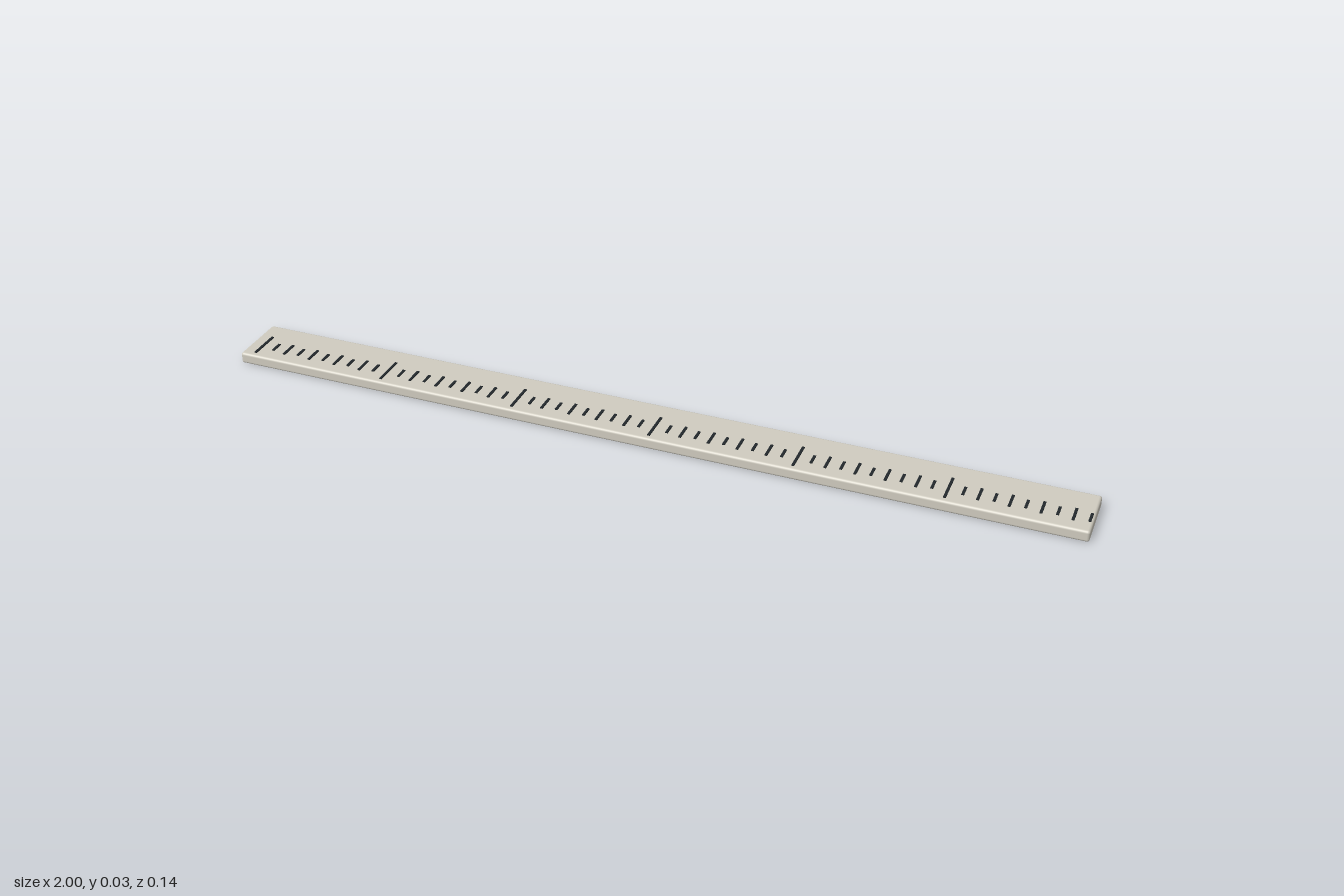
import * as THREE from 'three';
import { RoundedBoxGeometry } from 'three/addons/geometries/RoundedBoxGeometry.js';

const LENGTH = 2, WIDTH = 0.144, THICK = 0.027;

export function createModel() {
  const ruler = new THREE.Group();
  ruler.name = 'ruler';

  // Flat bar with softly rounded edges
  const body = new THREE.Mesh(
    new RoundedBoxGeometry(LENGTH, THICK, WIDTH, 3, 0.006),
    new THREE.MeshStandardMaterial({ color: 0xd0ccc0 })
  );
  body.name = 'body';
  body.position.y = THICK / 2;
  ruler.add(body);

  // Graduation marks: long every tenth, medium on even steps, short between
  const marks = new THREE.Group();
  marks.name = 'graduationMarks';
  const ink = new THREE.MeshStandardMaterial({ color: 0x22282c });
  const kinds = {
    long: new THREE.BoxGeometry(0.006, 0.003, 0.078),
    medium: new THREE.BoxGeometry(0.006, 0.003, 0.044),
    short: new THREE.BoxGeometry(0.006, 0.003, 0.03),
  };
  for (let i = 0; i < 60; i++) {
    const kind = i % 10 === 0 ? 'long' : i % 2 === 0 ? 'medium' : 'short';
    const mark = new THREE.Mesh(kinds[kind], ink);
    mark.name = kind + 'Mark';
    mark.position.set(-0.967 + i * 0.0332, THICK + 0.001, 0.02);
    marks.add(mark);
  }
  ruler.add(marks);

  return ruler;
}
